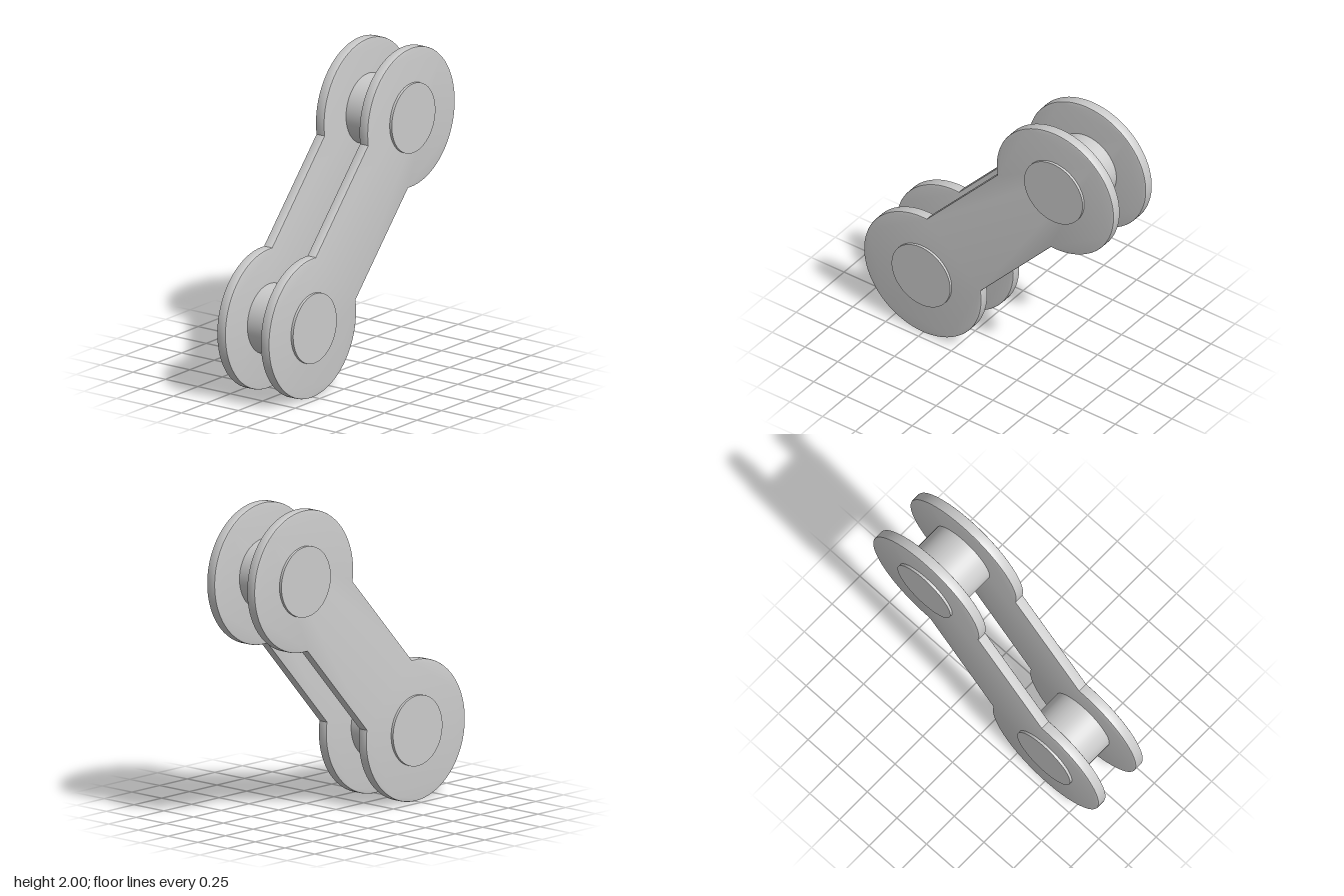
import * as THREE from 'three';
import { toCreasedNormals } from 'three/addons/utils/BufferGeometryUtils.js';

const HALF = 0.749;      // half distance between pin centres
const R = 0.447;         // end disc radius
const NECK = 0.277;      // half width of the connecting bar
const PIN_R = 0.223;
const PIN_LEN = 0.436;
const PLATE_T = 0.066;
const PLATE_Z = 0.168;   // middle of each side plate
const BEVEL = 0.006;

export function createModel() {
  const model = new THREE.Group();
  model.name = 'chainLink';
  const material = new THREE.MeshStandardMaterial({ color: 0xcccccc });

  // Dumbbell outline: two discs joined by a straight bar
  const h = Math.asin(NECK / R);
  const outline = new THREE.Shape();
  outline.absarc(HALF, 0, R, h - Math.PI, Math.PI - h, false);
  outline.absarc(-HALF, 0, R, h, 2 * Math.PI - h, false);
  outline.closePath();
  const plate = new THREE.ExtrudeGeometry(outline, {
    depth: PLATE_T - 2 * BEVEL, curveSegments: 64,
    bevelEnabled: true, bevelThickness: BEVEL, bevelSize: BEVEL,
    bevelOffset: -BEVEL, bevelSegments: 2,
  });
  plate.translate(0, 0, -(PLATE_T - 2 * BEVEL) / 2);
  const plateGeometry = toCreasedNormals(plate, Math.PI / 5);

  // Pins run through both plates and stand slightly proud
  const pinGeometry = new THREE.CylinderGeometry(PIN_R, PIN_R, PIN_LEN, 64);
  pinGeometry.rotateX(Math.PI / 2);

  const add = (name, geometry, x, z) => {
    const mesh = new THREE.Mesh(geometry, material);
    mesh.name = name;
    mesh.position.set(x, 0, z);
    model.add(mesh);
  };
  add('frontPlate', plateGeometry, 0, PLATE_Z);
  add('backPlate', plateGeometry, 0, -PLATE_Z);
  add('upperPin', pinGeometry, HALF, 0);
  add('lowerPin', pinGeometry, -HALF, 0);

  // Lean the whole link diagonally
  model.rotation.z = Math.atan2(1.106, 1.01);
  model.position.y = 1;
  const root = new THREE.Group();
  root.add(model);
  return root;
}
